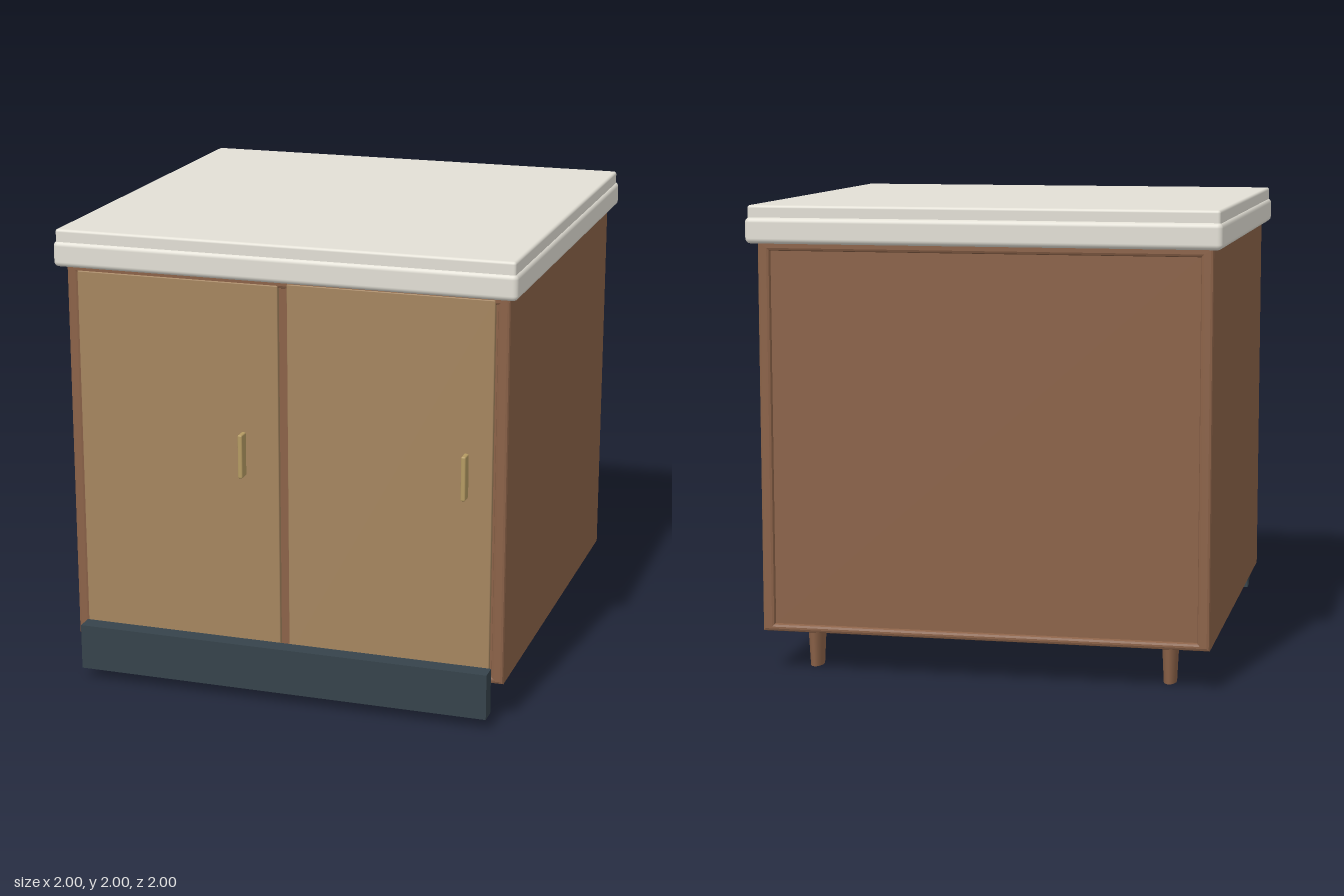
import * as THREE from 'three';
import { RoundedBoxGeometry } from 'three/addons/geometries/RoundedBoxGeometry.js';

const mat = (color) => new THREE.MeshStandardMaterial({ color });

export function createModel() {
  const group = new THREE.Group();
  const brown = mat(0x8b6248), tan = mat(0xa5855f), stone = mat(0xe2dfd5);
  const slate = mat(0x36434b), brass = mat(0xb49a62);

  const add = (name, geometry, material, x = 0, y = 0, z = 0) => {
    const mesh = new THREE.Mesh(geometry, material);
    mesh.name = name;
    mesh.position.set(x, y, z);
    group.add(mesh);
    return mesh;
  };
  // Box given by its extents, with rounded edges when r > 0
  const block = (name, material, [x0, x1], [y0, y1], [z0, z1], r = 0) => {
    const size = [x1 - x0, y1 - y0, z1 - z0];
    const geometry = r ? new RoundedBoxGeometry(...size, 3, r) : new THREE.BoxGeometry(...size);
    return add(name, geometry, material, (x0 + x1) / 2, (y0 + y1) / 2, (z0 + z1) / 2);
  };
  const rectangle = (path, x, y0, y1) => {
    path.moveTo(-x, y0);
    path.lineTo(x, y0);
    path.lineTo(x, y1);
    path.lineTo(-x, y1);
    path.closePath();
    return path;
  };

  // Carcass: open frame with softened edges, closed by an inset panel
  const bevel = 0.012;
  const frame = rectangle(new THREE.Shape(), 0.96 - bevel, 0.18 + bevel, 1.85 - bevel);
  frame.holes.push(rectangle(new THREE.Path(), 0.92, 0.2, 1.82));
  const carcass = new THREE.ExtrudeGeometry(frame, {
    depth: 1.87 - 2 * bevel, bevelEnabled: true, bevelSize: bevel, bevelThickness: bevel, bevelSegments: 2,
  });
  add('carcass', carcass, brown, 0, 0, -0.95 + bevel);
  block('innerPanel', brown, [-0.93, 0.93], [0.19, 1.83], [-0.93, 0.905]);

  // Doors with upright pulls
  block('rightDoor', tan, [-0.91, -0.02], [0.2, 1.82], [0.88, 0.925], 0.004);
  block('leftDoor', tan, [0.02, 0.9], [0.2, 1.83], [0.88, 0.925], 0.004);
  for (const [name, x] of [['rightHandle', -0.175], ['leftHandle', 0.79]])
    block(name, brass, [x - 0.01, x + 0.01], [0.99, 1.18], [0.915, 0.975], 0.006);

  // Kick board across the front
  block('kickBoard', slate, [-0.915, 0.91], [0.05, 0.25], [0.925, 1]);

  // Stepped worktop
  block('worktop', stone, [-1, 1], [1.84, 1.95], [-1, 0.97], 0.022);
  block('worktopCap', stone, [-0.99, 0.99], [1.93, 2], [-0.985, 0.96], 0.012);

  // Tapered feet, flattened sideways
  const foot = new THREE.CylinderGeometry(0.073, 0.055, 0.19, 24);
  foot.scale(0.5, 1, 1);
  for (const x of [-0.773, 0.773])
    for (const z of [0.74, -0.763]) add('foot', foot, brown, x, 0.095, z);

  return group;
}
